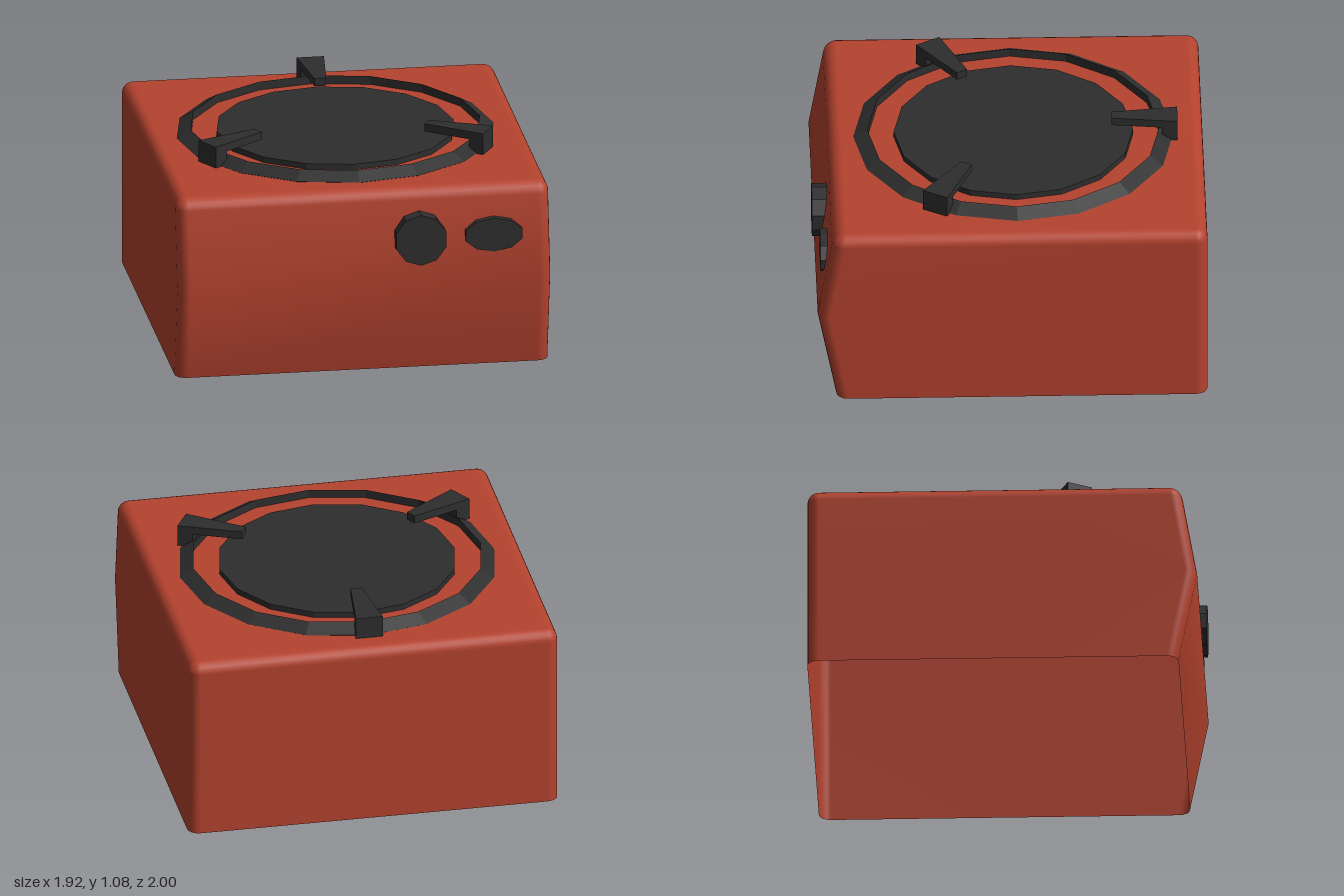
import * as THREE from 'three';

const red = new THREE.MeshStandardMaterial({ color: 0xb5432f, side: THREE.DoubleSide });
const dark = new THREE.MeshStandardMaterial({ color: 0x2e2e2e, flatShading: true });
const HEIGHT = 0.965, HALF_W = 0.96, BACK = -1, RADIUS = 0.06;
const CENTRE_Z = -0.035; // burner axis

function add(parent, name, geometry, material) {
  const mesh = new THREE.Mesh(geometry, material);
  mesh.name = name;
  parent.add(mesh);
  return mesh;
}

// Front wall leans out to its widest point at mid height
const frontZ = y => (y < 0.485 ? 0.89 + y * 0.196 : 0.985 - (y - 0.485) * 0.175);

// Open-bottomed shell: stacked rounded rectangles, closed by a flat top
function bodyGeometry() {
  const levels = [[0, 0], [0.485, 0]];
  for (let i = 0; i <= 5; i++) {
    const a = (i / 5) * Math.PI / 2;
    levels.push([HEIGHT - RADIUS * (1 - Math.sin(a)), RADIUS * (1 - Math.cos(a))]);
  }
  const steps = 4, n = 4 * (steps + 1);
  const pos = [], index = [];
  for (const [y, inset] of levels) {
    const r = Math.max(RADIUS - inset, 0.002);
    for (let k = 0; k < 4; k++) {
      const cx = (k === 0 || k === 3 ? 1 : -1) * (HALF_W - inset - r);
      const cz = k < 2 ? frontZ(y) - inset - r : BACK + inset + r;
      for (let s = 0; s <= steps; s++) {
        const t = (k + s / steps) * Math.PI / 2;
        pos.push(cx + r * Math.cos(t), y, cz + r * Math.sin(t));
      }
    }
  }
  for (let j = 0; j < levels.length - 1; j++) {
    for (let i = 0; i < n; i++) {
      const a = j * n + i, b = j * n + (i + 1) % n;
      index.push(a, a + n, b, b, a + n, b + n);
    }
  }
  const top = (levels.length - 1) * n, mid = pos.length / 3;
  pos.push(0, HEIGHT, CENTRE_Z);
  for (let i = 0; i < n; i++) index.push(mid, top + (i + 1) % n, top + i);
  const g = new THREE.BufferGeometry();
  g.setAttribute('position', new THREE.Float32BufferAttribute(pos, 3));
  g.setIndex(index);
  g.computeVertexNormals();
  return g;
}

// L-shaped bracket along +x, narrowing towards the burner
function supportGeometry() {
  const outer = 0.835, inner = 0.5;
  const profile = [[outer, 0.93], [outer, 1.078], [inner, 1.078], [inner, 1.036], [0.755, 1.036], [0.755, 0.93]];
  const shape = new THREE.Shape(profile.map(p => new THREE.Vector2(...p)));
  const g = new THREE.ExtrudeGeometry(shape, { depth: 2, bevelEnabled: false });
  g.translate(0, 0, -1);
  const p = g.attributes.position;
  for (let i = 0; i < p.count; i++) {
    const t = (p.getX(i) - inner) / (outer - inner);
    p.setZ(i, p.getZ(i) * THREE.MathUtils.lerp(0.03, 0.07, t));
  }
  g.computeVertexNormals();
  return g;
}

// Ten-sided control on the front; z is its outer face
function knob(parent, name, x, rx, ry, z) {
  const depth = 0.12;
  const mesh = add(parent, name, new THREE.CylinderGeometry(1, 1, depth, 10), dark);
  mesh.scale.set(rx, 1, ry);
  mesh.rotation.x = Math.PI / 2;
  mesh.position.set(x, 0.715, z - depth / 2);
}

export function createModel() {
  const model = new THREE.Group();
  model.name = 'campingStove';
  add(model, 'body', bodyGeometry(), red);

  // Burner with its ring and three pan supports
  const burner = new THREE.Group();
  burner.name = 'burner';
  burner.position.z = CENTRE_Z;
  model.add(burner);
  add(burner, 'burnerPlate', new THREE.CylinderGeometry(0.61, 0.61, 0.06, 16), dark).position.y = 0.965;
  const ring = add(burner, 'burnerRing', new THREE.TorusGeometry(0.768, 0.048, 3, 16), dark);
  ring.rotation.x = Math.PI / 2;
  ring.position.y = 0.968;
  const support = supportGeometry();
  for (let i = 0; i < 3; i++) {
    add(burner, 'panSupport', support, dark).rotation.y = Math.PI / 2 + i * Math.PI * 2 / 3;
  }

  knob(model, 'roundKnob', 0.285, 0.135, 0.135, 1.0);
  knob(model, 'ovalButton', 0.665, 0.153, 0.09, 0.967);
  return model;
}
